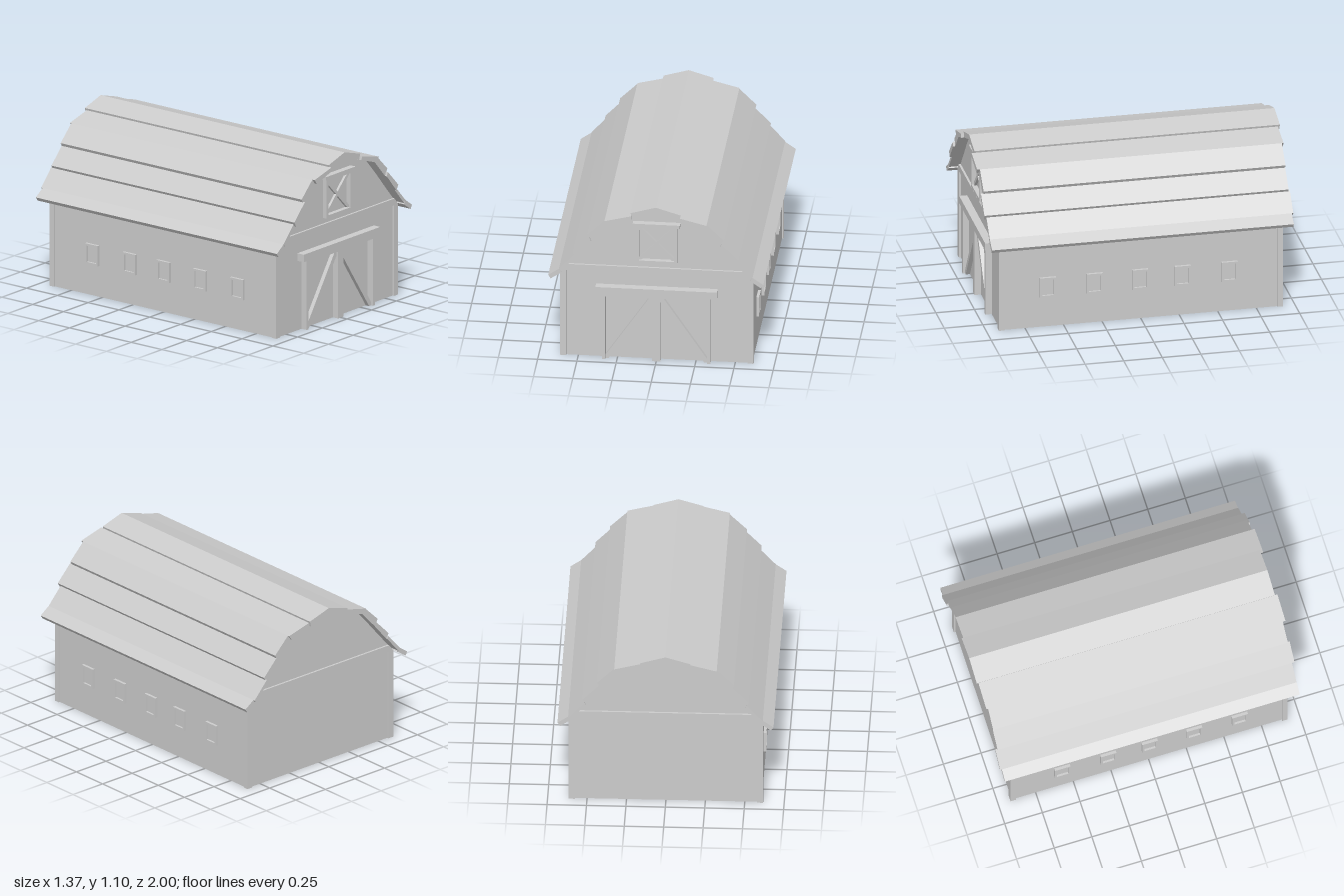
import * as THREE from 'three';

const material = new THREE.MeshStandardMaterial({ color: 0xcccccc, flatShading: true, side: THREE.DoubleSide });

function add(parent, name, geometry) {
  const mesh = new THREE.Mesh(geometry, material);
  mesh.name = name;
  parent.add(mesh);
  return mesh;
}

// Box given by its limits on each axis
function block(parent, name, x0, x1, y0, y1, z0, z1) {
  const mesh = add(parent, name, new THREE.BoxGeometry(x1 - x0, y1 - y0, z1 - z0));
  mesh.position.set((x0 + x1) / 2, (y0 + y1) / 2, (z0 + z1) / 2);
  return mesh;
}

// Outline in x, y extruded from z0 to z1, with optional hole outlines
function prism(parent, name, points, z0, z1, holes = []) {
  const toVectors = (list) => list.map(([x, y]) => new THREE.Vector2(x, y));
  const shape = new THREE.Shape(toVectors(points));
  shape.holes = holes.map((hole) => new THREE.Path(toVectors(hole)));
  const geometry = new THREE.ExtrudeGeometry(shape, { depth: z1 - z0, bevelEnabled: false });
  geometry.translate(0, 0, z0);
  return add(parent, name, geometry);
}

const rect = (x0, x1, y0, y1) => [[x0, y0], [x1, y0], [x1, y1], [x0, y1]];
const mirrored = (points, side) => points.map(([x, y]) => [x * side, y]);

export function createModel() {
  const barn = new THREE.Group();
  barn.name = 'barn';

  // Thin shell: gabled end walls, side walls and a flat ceiling, open below
  const gable = [[-0.607, 0], [0.607, 0], [0.607, 0.62], [0.304, 0.967], [0, 1.066], [-0.304, 0.967], [-0.607, 0.62]];
  prism(barn, 'frontWall', gable, 0.9, 0.908);
  prism(barn, 'backWall', gable, -0.908, -0.9);
  block(barn, 'ceiling', -0.605, 0.605, 0.6, 0.608, -0.902, 0.902);
  for (const side of [-1, 1]) {
    block(barn, 'sideWall', side * 0.603 - 0.004, side * 0.603 + 0.004, 0, 0.62, -0.904, 0.904);
  }

  // Corner posts and the beams under both gables
  for (const end of [-1, 1]) {
    for (const side of [-1, 1]) {
      block(barn, 'cornerPost', side * 0.597 - 0.02, side * 0.597 + 0.02, 0, 0.6, end * 0.9025 - 0.0175, end * 0.9025 + 0.0175);
    }
    prism(barn, 'gableBeam', [[-0.617, 0.6], [0.617, 0.6], [0.58, 0.645], [-0.58, 0.645]], end * 0.912 - 0.01, end * 0.912 + 0.01);
  }

  // Overlapping roof boards: cross-section, back end, front end
  const boards = [
    ['upperRoofBoard', [[0.155, 1.04], [0.325, 0.997], [0.302, 0.965], [0.15, 1.015]], -0.988, 0.998],
    ['steepRoofBoardTop', [[0.325, 0.997], [0.434, 0.89], [0.41, 0.845], [0.302, 0.965]], -0.977, 0.98],
    ['steepRoofBoardMiddle', [[0.42, 0.873], [0.527, 0.763], [0.507, 0.73], [0.41, 0.845]], -0.977, 0.995],
    ['steepRoofBoardBottom', [[0.513, 0.75], [0.617, 0.637], [0.603, 0.62], [0.507, 0.73]], -0.988, 0.98],
    ['eaveBoard', [[0.617, 0.637], [0.685, 0.59], [0.669, 0.566], [0.601, 0.612]], -0.977, 0.98],
  ];
  for (const [name, section, back, front] of boards) {
    for (const side of [-1, 1]) prism(barn, name, mirrored(section, side), back, front);
  }
  prism(barn, 'ridgeCap', [[0, 1.1], [0.16, 1.053], [0.15, 1.017], [0, 1.066], [-0.15, 1.017], [-0.16, 1.053]], -1, 0.98);

  // Double door: framed leaves with one diagonal brace each
  const door = new THREE.Group();
  door.name = 'frontDoor';
  barn.add(door);
  prism(door, 'doorFrame', [[-0.345, 0], [-0.325, 0], [-0.325, 0.443], [-0.027, 0.443], [-0.027, 0],
    [0.027, 0], [0.027, 0.443], [0.325, 0.443], [0.325, 0], [0.345, 0], [0.345, 0.465], [-0.345, 0.465]], 0.904, 0.95);
  block(door, 'doorHeader', -0.387, 0.387, 0.46, 0.51, 0.904, 0.96);
  for (const side of [-1, 1]) {
    const brace = [[0.027, 0.443], [0.027, 0.41], [0.305, 0], [0.325, 0], [0.325, 0.022], [0.042, 0.443]];
    prism(door, 'doorBrace', mirrored(brace, side), 0.904, 0.935);
  }

  // Loft hatch in the front gable with crossed braces
  const hatch = new THREE.Group();
  hatch.name = 'loftHatch';
  barn.add(hatch);
  prism(hatch, 'hatchFrame', rect(-0.13, 0.13, 0.683, 0.945), 0.904, 0.94, [rect(-0.112, 0.112, 0.702, 0.928)]);
  block(hatch, 'hatchHeader', -0.15, 0.15, 0.943, 0.965, 0.904, 0.95);
  for (const side of [-1, 1]) {
    const cross = [[-0.112, 0.702], [-0.097, 0.702], [0.112, 0.913], [0.112, 0.928], [0.097, 0.928], [-0.112, 0.717]];
    prism(hatch, 'hatchBrace', mirrored(cross, side), 0.904, 0.925);
  }

  // Five framed windows along each side
  for (const side of [-1, 1]) {
    for (const z of [0.603, 0.3, 0.005, -0.27, -0.575]) {
      const frame = prism(barn, 'windowFrame', rect(-0.052, 0.052, 0.205, 0.34), -0.002, 0.023, [rect(-0.038, 0.038, 0.219, 0.326)]);
      frame.rotation.y = side * Math.PI / 2;
      frame.position.set(side * 0.602, 0, z);
      block(barn, 'windowPane', side * 0.605 - 0.007, side * 0.605 + 0.007, 0.219, 0.326, z - 0.038, z + 0.038);
    }
  }
  return barn;
}
